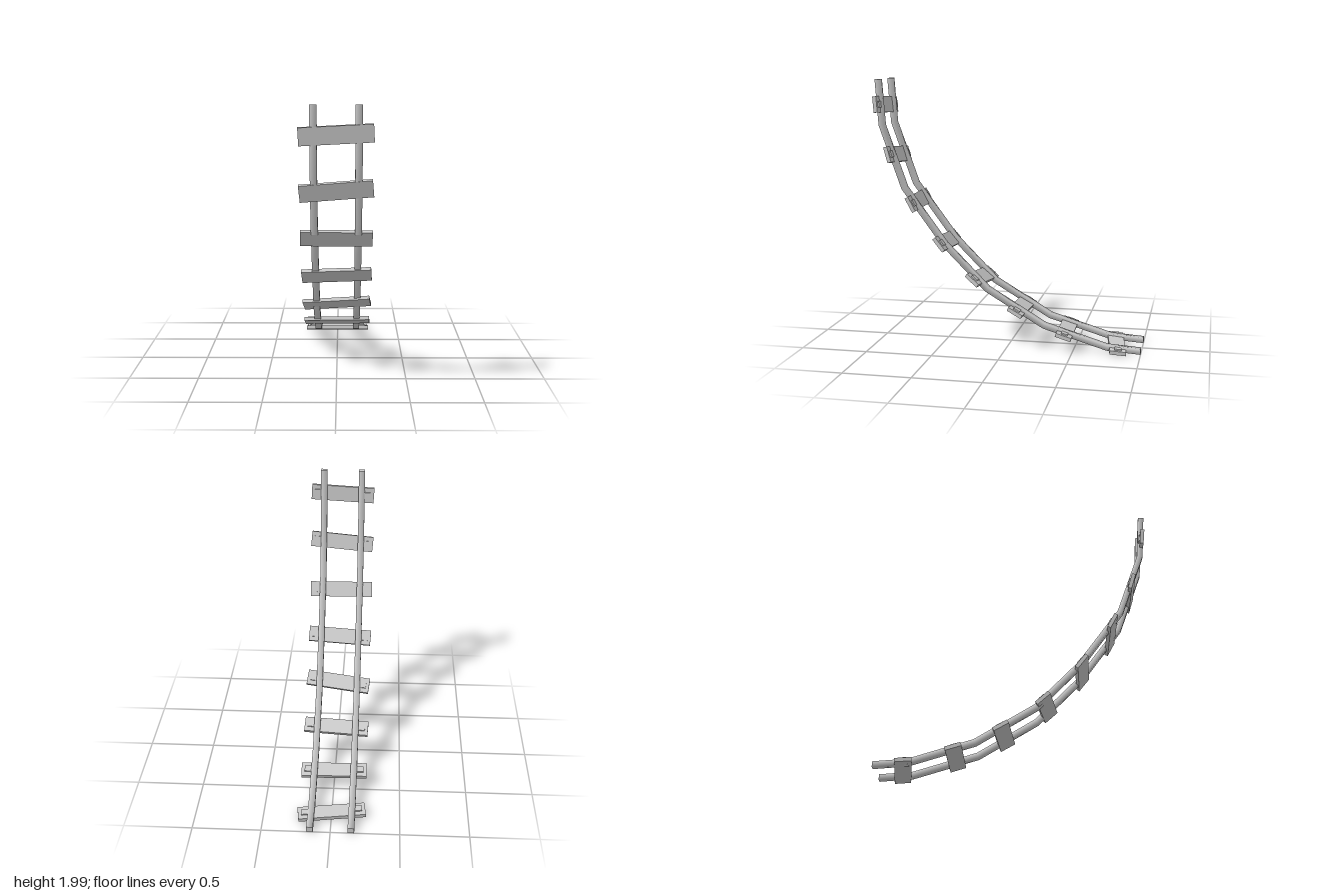
import * as THREE from 'three';

const material = new THREE.MeshStandardMaterial({ color: 0xcccccc });
const PIVOT_Y = 2, PIVOT_Z = -1; // centre of the quarter bend

// Upper edge of a rail as [z, y], from the low end to the high end
const RAIL_PATH = [
  [-1, 0.048], [-0.753, 0.064], [-0.287, 0.203], [0.142, 0.459],
  [0.464, 0.784], [0.77, 1.2], [0.936, 1.664], [0.96, 2],
];

// Square bar swept along the bend, smooth along its sides, flat at its ends
function railGeometry(width, depth) {
  const positions = [], index = [];
  const addRing = ([z, y]) => {
    const dz = z - PIVOT_Z, dy = y - PIVOT_Y, r = Math.hypot(dz, dy);
    const oz = z + (dz / r) * depth, oy = y + (dy / r) * depth;
    const w = width / 2;
    positions.push(-w, y, z, w, y, z, w, oy, oz, -w, oy, oz);
  };
  RAIL_PATH.forEach(addRing);
  for (let i = 0; i < RAIL_PATH.length - 1; i++) {
    for (let j = 0; j < 4; j++) {
      const a = i * 4 + j, b = i * 4 + (j + 1) % 4, c = a + 4, d = b + 4;
      index.push(a, c, b, b, c, d);
    }
  }
  // End caps on their own corners
  const s = RAIL_PATH.length * 4, e = s + 4;
  addRing(RAIL_PATH[0]);
  addRing(RAIL_PATH[RAIL_PATH.length - 1]);
  index.push(s, s + 1, s + 2, s, s + 2, s + 3);
  index.push(e, e + 2, e + 1, e, e + 3, e + 2);

  const geometry = new THREE.BufferGeometry();
  geometry.setAttribute('position', new THREE.Float32BufferAttribute(positions, 3));
  geometry.setIndex(index);
  geometry.computeVertexNormals();
  return geometry;
}

function box(name, w, h, d, x, y, z) {
  const mesh = new THREE.Mesh(new THREE.BoxGeometry(w, h, d), material);
  mesh.name = name;
  mesh.position.set(x, y, z);
  return mesh;
}

// Crosswise plank with a small rail plate near each end
function createSleeper(angle, radius, skew) {
  const sleeper = new THREE.Group();
  sleeper.name = 'sleeper';
  sleeper.position.set(0, PIVOT_Y - radius * Math.cos(angle), PIVOT_Z + radius * Math.sin(angle));
  sleeper.rotation.x = -angle;

  const skewed = new THREE.Group();
  skewed.name = 'skewedSleeper';
  skewed.rotation.y = -THREE.MathUtils.degToRad(skew);
  skewed.add(box('plank', 0.495, 0.028, 0.12, 0, 0, 0));
  for (const side of [-1, 1]) {
    skewed.add(box('railPlate', 0.085, 0.02, 0.05, side * 0.181, 0.014, 0));
  }
  sleeper.add(skewed);
  return sleeper;
}

export function createModel() {
  const model = new THREE.Group();
  model.name = 'curvedTrack';

  // Two parallel rails
  const geometry = railGeometry(0.048, 0.042);
  for (const side of [-1, 1]) {
    const rail = new THREE.Mesh(geometry, material);
    rail.name = side > 0 ? 'leftRail' : 'rightRail';
    rail.position.x = side * 0.149;
    model.add(rail);
  }

  // Evenly spaced sleepers, each laid slightly askew: [radius, skew in degrees]
  const sleepers = [
    [1.978, -8], [1.959, -1], [1.946, 3.3], [1.938, 7.5],
    [1.936, 3.3], [1.953, -0.5], [1.971, 4.8], [1.987, 3],
  ];
  sleepers.forEach(([radius, skew], i) => {
    const angle = ((i + 0.5) / sleepers.length) * Math.PI / 2;
    model.add(createSleeper(angle, radius, skew));
  });
  return model;
}
